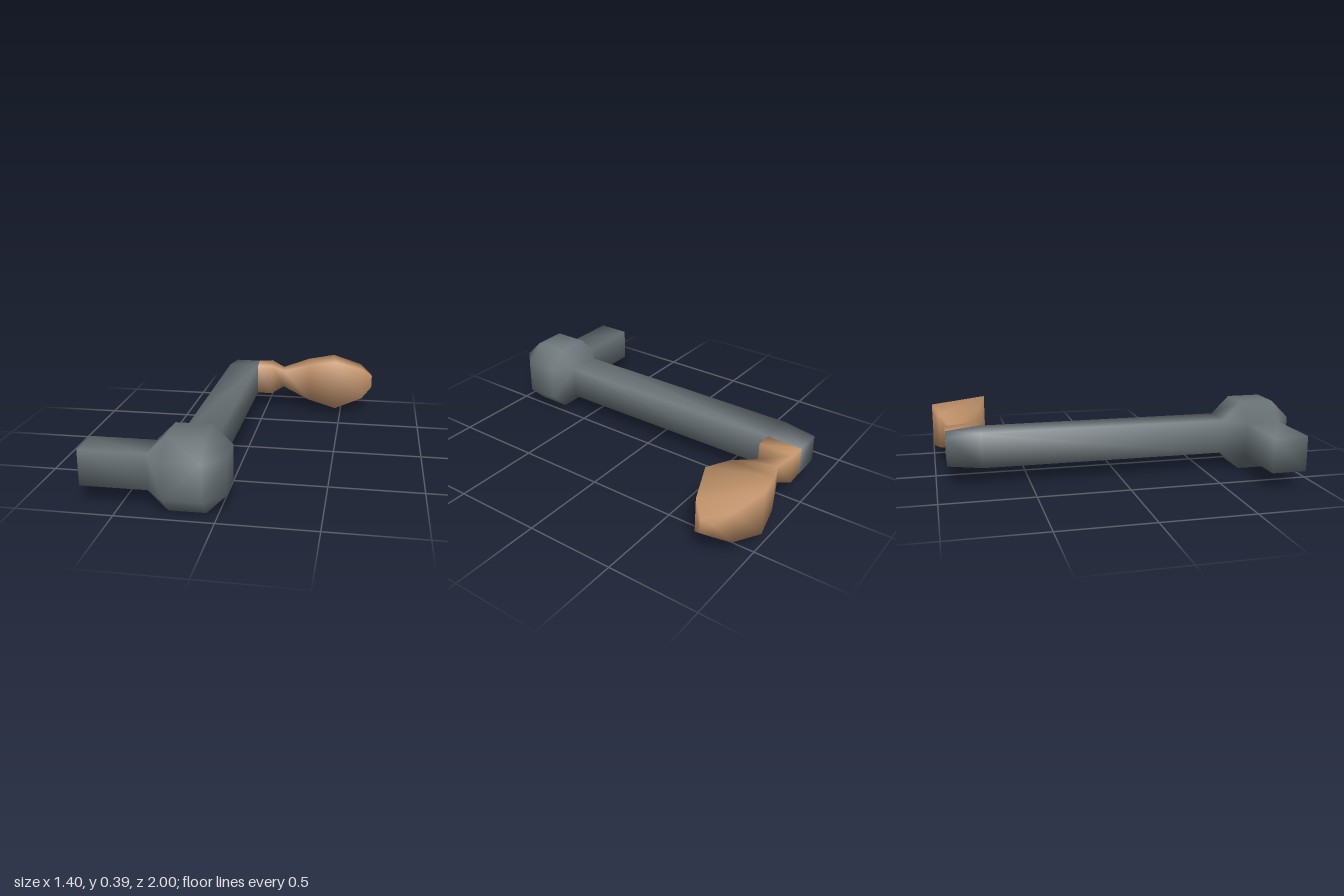
import * as THREE from 'three';
import { mergeVertices } from 'three/addons/utils/BufferGeometryUtils.js';
import { ConvexGeometry } from 'three/addons/geometries/ConvexGeometry.js';

// Corner signs of a four-sided ring, counter-clockwise about the direction of travel
const CORNERS = [[1, -1], [1, 1], [-1, 1], [-1, -1]];

// Skin a series of four-point rings; returns a flat list of triangle points
function loft(rings, capStart, capEnd) {
  const pts = [];
  for (let i = 0; i < rings.length - 1; i++) {
    for (let j = 0; j < 4; j++) {
      const k = (j + 1) % 4;
      const a = rings[i][j], b = rings[i][k], c = rings[i + 1][k], d = rings[i + 1][j];
      pts.push(a, b, c, a, c, d);
    }
  }
  const s = rings[0], e = rings[rings.length - 1];
  if (capStart) pts.push(s[0], s[2], s[1], s[0], s[3], s[2]);
  if (capEnd) pts.push(e[0], e[1], e[2], e[0], e[2], e[3]);
  return pts;
}

// Weld triangles into one smooth-shaded mesh
function smoothMesh(name, pts, material) {
  const geo = mergeVertices(new THREE.BufferGeometry().setFromPoints(pts), 1e-3);
  geo.computeVertexNormals();
  const mesh = new THREE.Mesh(geo, material);
  mesh.name = name;
  return mesh;
}

export function createModel() {
  const metal = new THREE.MeshStandardMaterial({ color: 0x6b7478 });
  metal.name = 'grey metal';
  const wood = new THREE.MeshStandardMaterial({ color: 0xc4956c });
  wood.name = 'tan wood';

  const V = (x, y, z) => new THREE.Vector3(x, y, z);
  const cx = -0.155, cy = 0.195, cz = 0.805, R = 0.195, r = 0.095;

  // Hub: cube with bevelled edges and corners
  const hubPoints = [];
  for (const sx of [-1, 1]) for (const sy of [-1, 1]) for (const sz of [-1, 1]) {
    hubPoints.push(
      V(cx + sx * R, cy + sy * r, cz + sz * r),
      V(cx + sx * r, cy + sy * R, cz + sz * r),
      V(cx + sx * r, cy + sy * r, cz + sz * R));
  }
  const hull = new ConvexGeometry(hubPoints).getAttribute('position');
  const body = [];
  for (let i = 0; i < hull.count; i += 3) {
    const tri = [0, 1, 2].map((k) => new THREE.Vector3().fromBufferAttribute(hull, i + k));
    // leave out the two faces where the axle and arm join
    const joined = tri.every((p) => p.x < cx - R + 0.001) || tri.every((p) => p.z < cz - R + 0.001);
    if (!joined) body.push(...tri);
  }

  // Axle: square bar from its free end to the hub
  const axleRing = (x) => CORNERS.map(([a, b]) => V(x, cy + a * r, cz + b * r));
  body.push(...loft([axleRing(-0.7), axleRing(cx - R)], true, false));

  // Arm: square bar with a slightly tapered far end
  const armRing = (z, h) => CORNERS.map(([a, b]) => V(cx + a * h, cy + b * h, z));
  body.push(...loft([armRing(-0.94, 0.078), armRing(-0.75, r), armRing(cz - R, r)], true, false));

  // Grip sections: [front x, front z, front half height, back x, back z, back half height]
  const grip = [
    [-0.06, -0.75, 0.095, -0.077, -0.94, 0.078],
    [0.035, -0.75, 0.095, 0.015, -0.94, 0.085],
    [0.11, -0.79, 0.055, 0.1, -0.9, 0.052],
    [0.29, -0.725, 0.12, 0.265, -0.965, 0.1],
    [0.467, -0.685, 0.158, 0.435, -1.0, 0.126],
    [0.64, -0.745, 0.098, 0.62, -0.94, 0.085],
    [0.7, -0.81, 0.038, 0.695, -0.875, 0.034],
  ];
  const gripRings = grip.map(([fx, fz, fh, bx, bz, bh]) =>
    CORNERS.map(([a, b]) => (b > 0 ? V(fx, cy + a * fh, fz) : V(bx, cy + a * bh, bz))));

  const group = new THREE.Group();
  group.name = 'crankHandle';
  group.add(smoothMesh('crankBody', body, metal));
  group.add(smoothMesh('grip', loft(gripRings, false, true), wood));
  return group;
}
